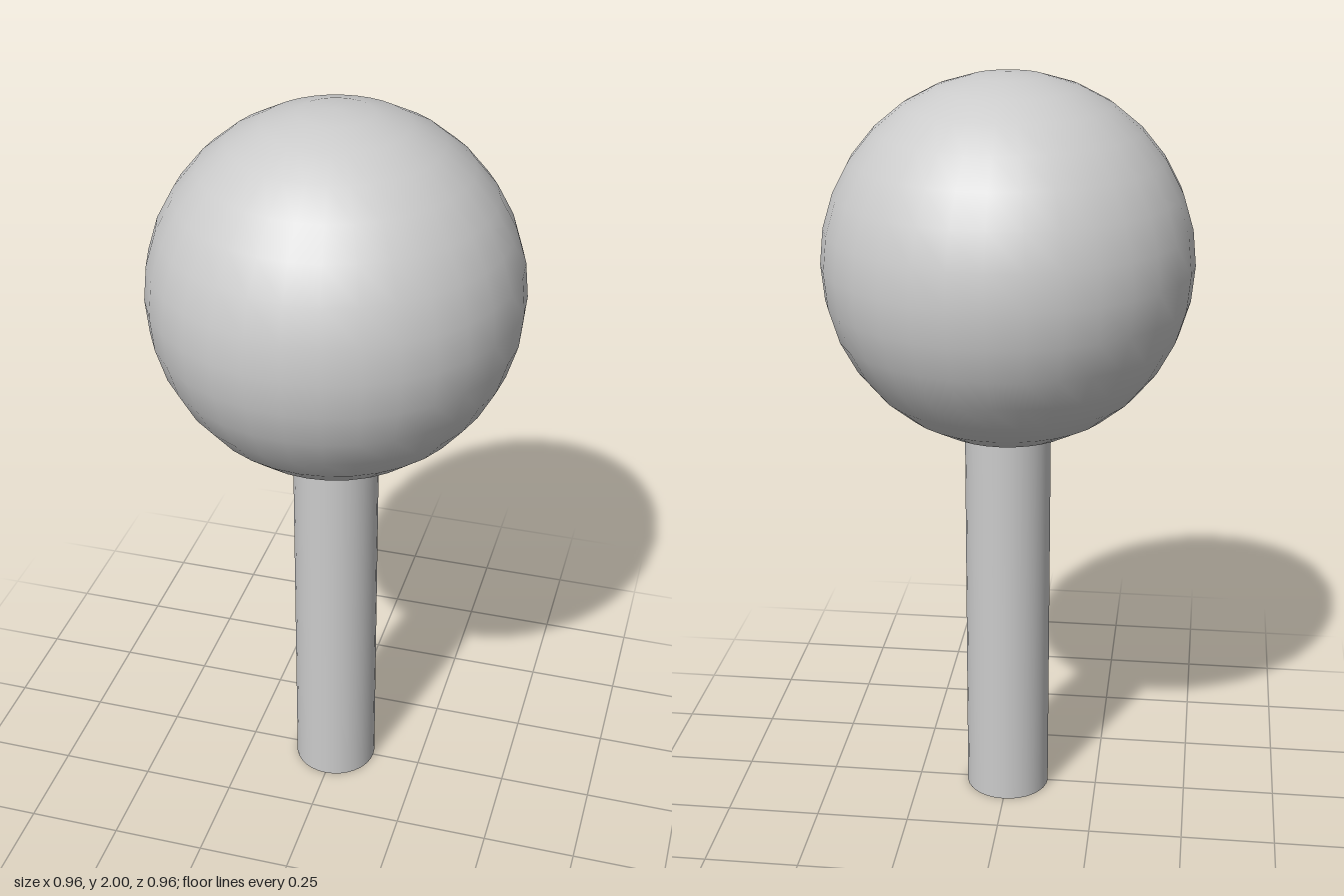
import * as THREE from 'three';

export function createModel() {
  const group = new THREE.Group();
  const material = new THREE.MeshStandardMaterial({ color: 0xcccccc });

  const add = (name, geometry, y) => {
    const mesh = new THREE.Mesh(geometry, material);
    mesh.name = name;
    mesh.position.y = y;
    group.add(mesh);
  };

  // Round head resting on the post
  const headRadius = 0.478;
  add('head', new THREE.SphereGeometry(headRadius, 32, 16), 2 - headRadius);

  // Straight post, its top end sunk slightly into the head
  const postHeight = 1.08;
  add('post', new THREE.CylinderGeometry(0.114, 0.114, postHeight, 32), postHeight / 2);

  return group;
}
